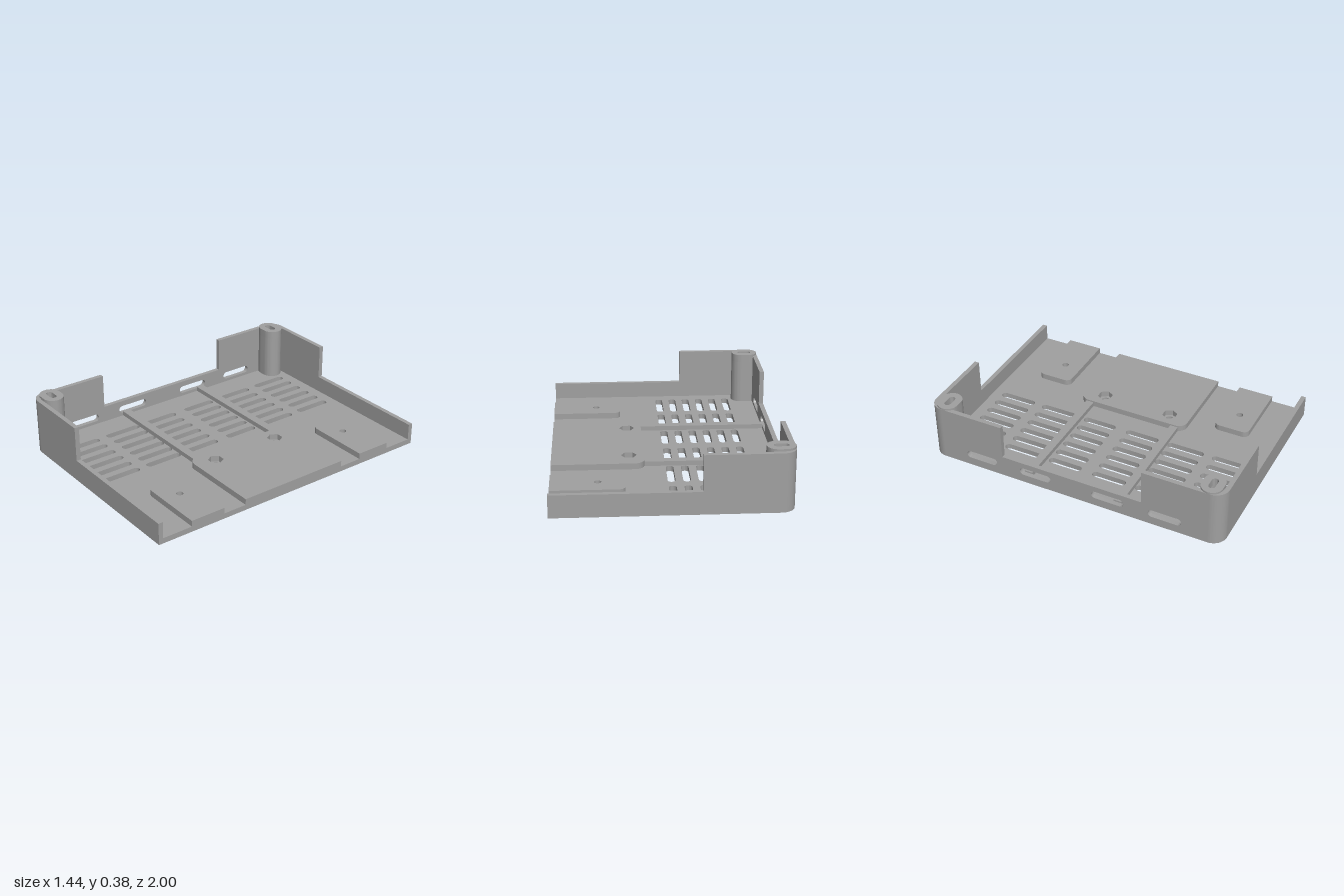
import * as THREE from 'three';
import { toCreasedNormals } from 'three/addons/utils/BufferGeometryUtils.js';

const FLOOR = 0.035, WALL = 0.03, LOW = 0.143, HIGH = 0.37, PAD = 0.074;
const X = 0.72, Z = 1, R = 0.09;

// Capsule or circle outline between two opposite corners
function slot(x0, y0, x1, y1, C = THREE.Path) {
  const p = new C(), w = x1 - x0, h = y1 - y0, r = Math.min(w, h) / 2;
  if (w >= h) {
    p.absarc(x1 - r, y0 + r, r, -Math.PI / 2, Math.PI / 2, false);
    p.absarc(x0 + r, y0 + r, r, Math.PI / 2, Math.PI * 1.5, false);
  } else {
    p.absarc(x0 + r, y1 - r, r, 0, Math.PI, false);
    p.absarc(x0 + r, y0 + r, r, Math.PI, Math.PI * 2, false);
  }
  p.closePath();
  return p;
}
const circle = (x, y, r) => new THREE.Path().absarc(x, y, r, 0, Math.PI * 2, false);

function hexagon(x, y, r) {
  const pts = [];
  for (let i = 0; i < 6; i++) {
    const a = i * Math.PI / 3;
    pts.push(new THREE.Vector2(x + r * Math.cos(a), y + r * Math.sin(a)));
  }
  return new THREE.Path(pts);
}

// Rectangle with its two -x corners rounded
function plate(x0, y0, x1, y1, r) {
  const s = new THREE.Shape();
  s.moveTo(x1, y0);
  s.lineTo(x1, y1);
  s.absarc(x0 + r, y1 - r, r, Math.PI / 2, Math.PI, false);
  s.absarc(x0 + r, y0 + r, r, Math.PI, Math.PI * 1.5, false);
  s.closePath();
  return s;
}

const polygon = pts => new THREE.Shape(pts.map(p => new THREE.Vector2(p[0], p[1])));

function extrude(shape, depth) {
  const g = new THREE.ExtrudeGeometry(shape, { depth, bevelEnabled: false, curveSegments: 14 });
  return toCreasedNormals(g, 0.6);
}

export function createModel() {
  const model = new THREE.Group();
  model.name = 'enclosureTray';
  const grey = new THREE.MeshStandardMaterial({ color: 0xa0a0a0 });
  grey.name = 'grey plastic';

  const add = (name, geometry) => {
    const m = new THREE.Mesh(geometry, grey);
    m.name = name;
    model.add(m);
    return m;
  };
  // Plan shapes use (x, -z) and rise from y0 to y1
  const addPlan = (name, shape, y0, y1) =>
    add(name, extrude(shape, y1 - y0).rotateX(-Math.PI / 2).translate(0, y0, 0));

  const hexCentres = [[0.23, 0.245], [0.23, -0.233]];
  const screwCentres = [[0.43, 0.66], [0.43, -0.65]];
  const postZ = 0.8975;

  // Floor with vents, screw holes and post counterbores
  const floor = plate(-X + WALL, -Z + WALL, X, Z - WALL, R - WALL);
  const rows = [[-0.905, -0.655], [-0.595, -0.345], [-0.275, -0.045],
    [0.035, 0.265], [0.333, 0.585], [0.645, 0.895]];
  for (const [z0, z1] of rows) {
    for (let i = 0; i < 6; i++) {
      const x = -0.495 + i * 0.095;
      floor.holes.push(slot(x - 0.024, -z1, x + 0.024, -z0));
    }
  }
  for (const [x, y] of hexCentres) floor.holes.push(circle(x, y, 0.028));
  for (const [x, y] of screwCentres) floor.holes.push(circle(x, y, 0.022));
  const bore = s => slot(-0.69, s * postZ - 0.045, -0.575, s * postZ + 0.045);
  for (const s of [1, -1]) floor.holes.push(bore(s));
  addPlan('floor', floor, 0, FLOOR);

  // Raised pads along the open edge
  const centrePad = plate(0.135, -0.375, X, 0.385, 0.06);
  for (const [x, y] of hexCentres) centrePad.holes.push(hexagon(x, y, 0.05));
  addPlan('centrePad', centrePad, FLOOR, PAD);
  screwCentres.forEach(([x, y], i) => {
    const pad = plate(0.265, y - 0.119, X, y + 0.118, 0.04);
    pad.holes.push(circle(x, y, 0.022));
    addPlan(i ? 'sidePadFront' : 'sidePadBack', pad, FLOOR, PAD);
  });

  // Low ribs between the vent rows
  for (const z of [-0.3125, 0.3065]) {
    add('rib', new THREE.BoxGeometry(0.825, 0.03, 0.053).translate(-0.2775, FLOOR + 0.015, z));
  }

  // Stepped long walls, rounded corners and hollow screw posts on both sides
  for (const s of [1, -1]) {
    const side = polygon([[-X + R, 0], [X, 0], [X, LOW], [-0.175, LOW], [-0.175, HIGH], [-X + R, HIGH]]);
    add('longWall', extrude(side, WALL).translate(0, 0, s > 0 ? Z - WALL : -Z));

    const a0 = s > 0 ? Math.PI / 2 : Math.PI, a1 = a0 + Math.PI / 2;
    const corner = new THREE.Shape();
    corner.absarc(-X + R, s * (Z - R), R, a0, a1, false);
    corner.absarc(-X + R, s * (Z - R), R - WALL, a1, a0, true);
    corner.closePath();
    addPlan('cornerWall', corner, 0, HIGH);

    const outline = () => slot(-X, s * postZ - 0.0675, -0.545, s * postZ + 0.0675, THREE.Shape);
    const shaft = outline();
    shaft.holes.push(bore(s));
    addPlan('post', shaft, FLOOR, 0.33);
    const cap = outline();
    cap.holes.push(slot(-0.678, s * postZ - 0.021, -0.588, s * postZ + 0.021));
    addPlan('postCap', cap, 0.33, 0.382);
  }

  // End wall with a central drop and four cable slots
  const e = Z - R;
  const end = polygon([[-e, 0], [e, 0], [e, HIGH], [0.477, HIGH], [0.477, LOW],
    [-0.48, LOW], [-0.48, HIGH], [-e, HIGH]]);
  for (const z of [-0.63, -0.2475, 0.2525, 0.6325]) {
    end.holes.push(slot(z - 0.109, 0.055, z + 0.109, 0.106));
  }
  add('endWall', extrude(end, WALL).rotateY(-Math.PI / 2).translate(-X + WALL, 0, 0));

  return model;
}
